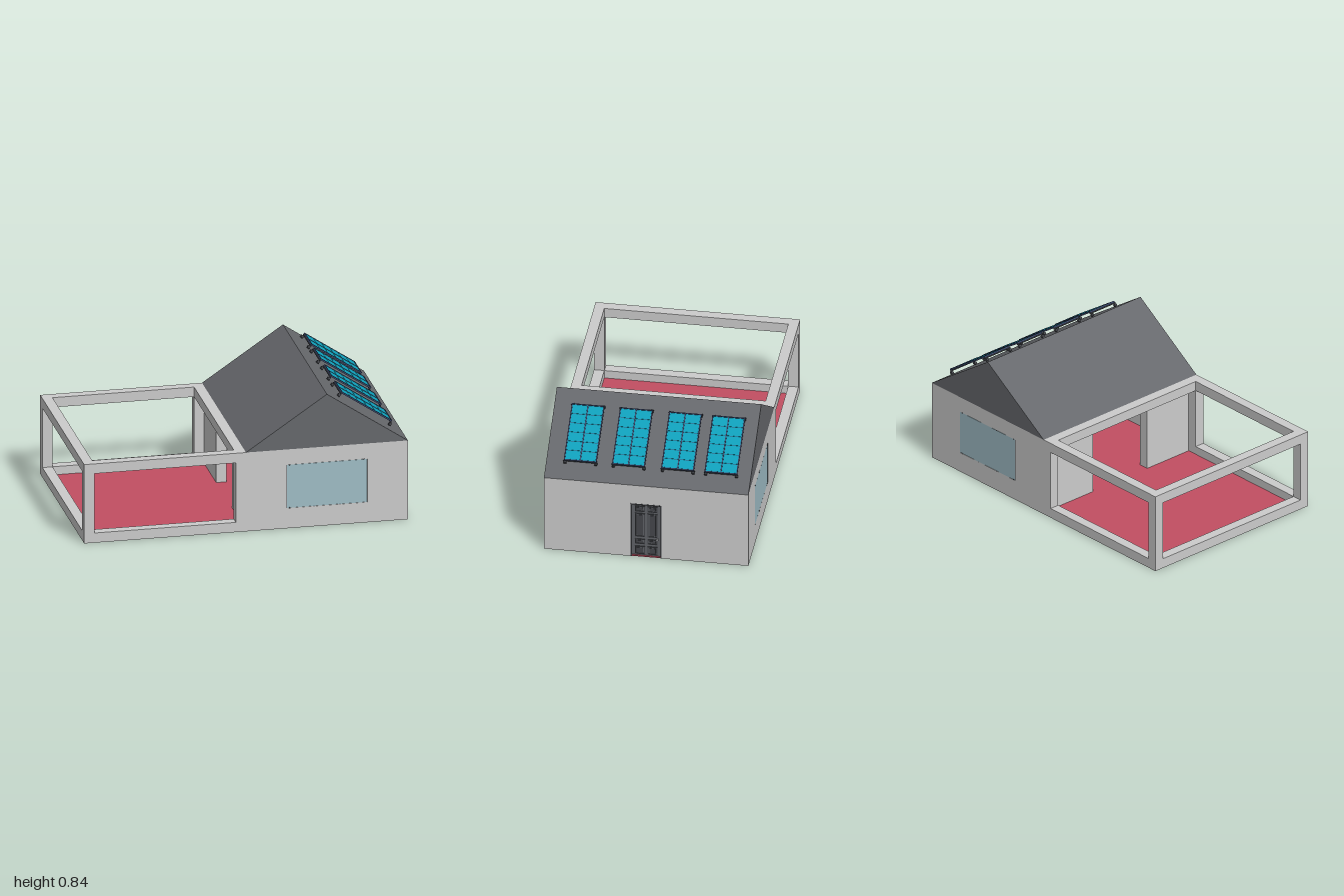
import * as THREE from 'three';

const H = 0.507, T = 0.0625, D = 0.625, IN = D - T;
const mat = (color) => new THREE.MeshStandardMaterial({ color });
const wallMat = mat(0xcccccc), roofMat = mat(0x66686c), floorMat = mat(0xc24f62);
const glassMat = mat(0x9fbdc6), doorMat = mat(0x606267), trimMat = mat(0x45474c);
const cellMat = mat(0x10a0bb), frameMat = mat(0x3c4a6c), metalMat = mat(0xb4b6ba);

function add(parent, name, geo, material, x = 0, y = 0, z = 0) {
  const m = new THREE.Mesh(geo, material);
  m.name = name;
  m.position.set(x, y, z);
  parent.add(m);
  return m;
}
const box = (parent, name, w, h, d, material, x, y, z) =>
  add(parent, name, new THREE.BoxGeometry(w, h, d), material, x, y, z);

const polygon = (pts) => new THREE.Shape(pts.map(([x, y]) => new THREE.Vector2(x, y)));
const rect = (x0, y0, x1, y1) => polygon([[x0, y0], [x1, y0], [x1, y1], [x0, y1]]);

function slab(shape, holes, depth) {
  shape.holes.push(...holes);
  return new THREE.ExtrudeGeometry(shape, { depth, bevelEnabled: false });
}

// Wall outline with a doorway cut up from the ground
const doorwayWall = (half, gap, top) => polygon([
  [-half, 0], [-gap, 0], [-gap, top], [gap, top], [gap, 0], [half, 0], [half, H], [-half, H],
]);

// Rectangular border lying in the z-y plane, facing +x
function moulding(parent, z0, y0, z1, y1, x) {
  const b = 0.005;
  const g = slab(rect(z0, y0, z1, y1), [rect(z0 + b, y0 + b, z1 - b, y1 - b)], 0.005);
  const m = add(parent, 'doorMoulding', g, trimMat, x);
  m.rotation.y = -Math.PI / 2;
}

function makeDoor() {
  const door = new THREE.Group();
  door.name = 'door';
  box(door, 'doorLeaf', 0.03, 0.372, 0.176, doorMat, 0.978, 0.188, 0);
  // Casing
  for (const s of [-1, 1]) box(door, 'doorJamb', T, 0.377, 0.007, trimMat, 0.97, 0.1885, s * 0.0905);
  box(door, 'doorHead', T, 0.007, 0.188, trimMat, 0.97, 0.3735, 0);
  // Raised panels, two columns of four
  for (const [y0, y1] of [[0.018, 0.074], [0.09, 0.125], [0.142, 0.308], [0.32, 0.36]]) {
    for (const s of [-1, 1]) {
      const a = s * 0.008, b = s * 0.069;
      moulding(door, Math.min(a, b), y0, Math.max(a, b), y1, 0.998);
      box(door, 'doorPanel', 0.003, y1 - y0 - 0.022, 0.039, trimMat, 0.9945, (y0 + y1) / 2, s * 0.0385);
    }
  }
  // Handle
  const stem = add(door, 'handleStem', new THREE.CylinderGeometry(0.004, 0.004, 0.022, 12), metalMat, 1.0, 0.134, -0.07);
  stem.rotation.z = Math.PI / 2;
  const grip = add(door, 'handleGrip', new THREE.SphereGeometry(0.008, 14, 10), metalMat, 1.008, 0.134, -0.068);
  grip.scale.set(0.6, 0.8, 1.1);
  return door;
}

// Local x runs down the slope, local y is the roof normal
function makeSolarPanel() {
  const panel = new THREE.Group();
  panel.name = 'solarPanel';
  const L = 0.375, W = 0.2, b = 0.006;
  box(panel, 'backing', L - 0.004, 0.004, W - 0.004, frameMat, 0, -0.002, 0);
  for (const s of [-1, 1]) {
    box(panel, 'sideFrame', L, 0.01, b, frameMat, 0, 0, s * (W - b) / 2);
    box(panel, 'endFrame', b, 0.01, W, frameMat, s * (L - b) / 2, 0, 0);
  }
  box(panel, 'middleBar', L, 0.008, b, frameMat, 0, 0, 0);
  // Cells: two columns of six
  const cl = (L - 2 * b) / 6, cw = W / 2 - 1.5 * b;
  for (let i = 0; i < 6; i++) {
    for (const s of [-1, 1]) {
      box(panel, 'cell', cl - 0.003, 0.003, cw - 0.002, cellMat, (i - 2.5) * cl, 0.001, s * (cw + b) / 2);
    }
  }
  // Rails and feet at both ends
  for (const e of [-1, 1]) {
    const x = e * (L / 2 - 0.002);
    const rail = add(panel, 'rail', new THREE.CylinderGeometry(0.004, 0.004, W + 0.008, 10), trimMat, x, -0.009, 0);
    rail.rotation.x = Math.PI / 2;
    for (const s of [-1, 1]) {
      box(panel, 'leg', 0.007, 0.028, 0.007, trimMat, x, -0.02, s * 0.094);
      const foot = add(panel, 'foot', new THREE.CylinderGeometry(0.009, 0.009, 0.016, 14), trimMat, x + e * 0.004, -0.022, s * 0.094);
      foot.rotation.z = Math.PI / 2;
    }
  }
  return panel;
}

export function createModel() {
  const house = new THREE.Group();
  house.name = 'house';

  // Front and back walls, each with a terrace opening and a window
  for (const [name, s] of [['front', 1], ['back', -1]]) {
    const holes = [rect(-1 + T, T, -T, H - T), rect(0.25, 0.13, 0.75, 0.408)];
    add(house, name + 'Wall', slab(rect(-1, 0, 1, H), holes, T), wallMat, 0, 0, s > 0 ? IN : -D);
    box(house, name + 'Window', 0.498, 0.276, 0.012, glassMat, 0.5, 0.269, s * (D - 0.006));
    // Small window clips
    for (const x of [0.27, 0.42, 0.58, 0.73]) {
      for (const y of [0.131, 0.407]) box(house, name + 'WindowClip', 0.006, 0.006, 0.006, trimMat, x, y, s * (D - 0.002));
    }
    box(house, name + 'WindowEdge', 0.004, 0.278, 0.012, trimMat, 0.252, 0.269, s * (D - 0.005));
  }

  // Side walls and partition
  const sides = [
    ['terraceEndWall', slab(rect(-IN, 0, IN, H), [rect(-IN + 0.001, T, IN - 0.001, H - T)], T), -1 + T],
    ['doorWall', slab(doorwayWall(IN, 0.094, 0.377), [], T), 1],
    ['partitionWall', slab(doorwayWall(IN, 0.222, H - T), [], T), T],
  ];
  for (const [name, geo, x] of sides) add(house, name, geo, wallMat, x).rotation.y = -Math.PI / 2;
  box(house, 'terraceBeam', T, T, 2 * IN, wallMat, -T / 2, H - T / 2, 0);

  // Floor, running out under the door
  const floorY = 0.006;
  for (const [x0, x1, half] of [[-1 + T, 0, IN], [0, T, 0.222], [T, 1 - T, IN], [1 - T, 1, 0.094]]) {
    box(house, 'floor', x1 - x0, 0.008, 2 * half, floorMat, (x0 + x1) / 2, floorY, 0);
  }

  // Gable roof
  const gable = polygon([[0, H], [1, H], [0.5, 0.843]]);
  add(house, 'roof', slab(gable, [], 2 * D), roofMat, 0, 0, -D);

  house.add(makeDoor());

  // Solar panels on the right slope
  for (const z of [0.415, 0.12, -0.18, -0.445]) {
    const p = makeSolarPanel();
    p.position.set(0.769, 0.702, z);
    p.rotation.z = -Math.atan2(0.336, 0.5);
    house.add(p);
  }
  return house;
}
